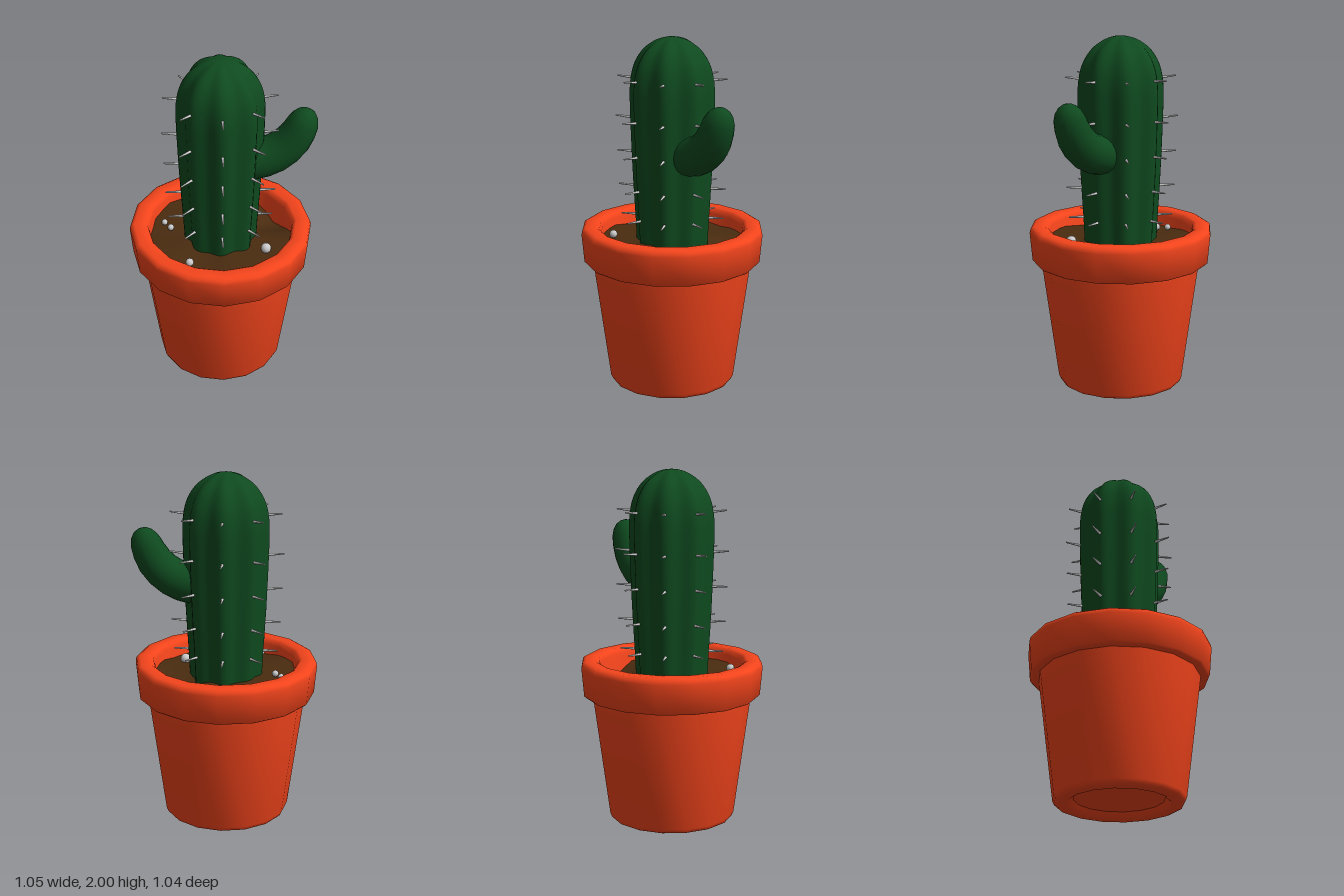
import * as THREE from 'three';
import { mergeVertices, toCreasedNormals } from 'three/addons/utils/BufferGeometryUtils.js';

const mat = (color) => new THREE.MeshStandardMaterial({ color });
const V2 = (pts) => pts.map(([r, y]) => new THREE.Vector2(r, y));

// Weld seams so that normals are smooth all the way round
function weld(geo) {
  geo.deleteAttribute('uv');
  geo.deleteAttribute('normal');
  const g = mergeVertices(geo, 1e-4);
  g.computeVertexNormals();
  return g;
}

// Move every vertex by a rule
function reshape(geo, rule) {
  const p = geo.attributes.position;
  const v = new THREE.Vector3();
  for (let i = 0; i < p.count; i++) {
    v.fromBufferAttribute(p, i);
    rule(v);
    p.setXYZ(i, v.x, v.y, v.z);
  }
  return weld(geo);
}

// Skin a tube over rings [x, y, radius] that lie along a bend in the xy plane
function bentLimb(rings, sides) {
  const path = new THREE.CatmullRomCurve3(rings.map(([x, y]) => new THREE.Vector3(x, y, 0)));
  const pos = [], index = [];
  rings.forEach(([x, y, r], i) => {
    const t = path.getTangent(i / (rings.length - 1));
    for (let s = 0; s < sides; s++) {
      const a = (s / sides) * Math.PI * 2;
      const side = Math.cos(a) * r;
      pos.push(x + t.y * side, y - t.x * side, -Math.sin(a) * r);
      if (i === 0) continue;
      const n = (s + 1) % sides;
      const a0 = (i - 1) * sides + s, b0 = (i - 1) * sides + n;
      const a1 = i * sides + s, b1 = i * sides + n;
      index.push(a0, b0, b1, a0, b1, a1);
    }
  });
  const geo = new THREE.BufferGeometry();
  geo.setAttribute('position', new THREE.Float32BufferAttribute(pos, 3));
  geo.setIndex(index);
  return weld(geo);
}

export function createModel() {
  const model = new THREE.Group();
  model.name = 'pottedCactus';
  const clay = mat(0xf5451c), green = mat(0x0f4a1f), earth = mat(0x4a2c10), grey = mat(0xcccccc);
  const add = (parent, name, geo, material) => {
    const mesh = new THREE.Mesh(geo, material);
    mesh.name = name;
    parent.add(mesh);
    return mesh;
  };

  // Everything but the arm is centred slightly off the middle
  const plant = new THREE.Group();
  plant.name = 'plant';
  plant.position.x = -0.015;
  model.add(plant);

  // Pot: recessed foot, tapered wall, overhanging rim and inner wall
  const potProfile = V2([
    [0, 0.035], [0.25, 0.035], [0.27, 0.01], [0.285, 0], [0.335, 0], [0.353, 0.008], [0.363, 0.03],
    [0.455, 0.725], [0.495, 0.725], [0.506, 0.735], [0.52, 0.895], [0.515, 0.918], [0.495, 0.93],
    [0.435, 0.93], [0.418, 0.92], [0.41, 0.895], [0.39, 0.7],
  ]);
  add(plant, 'pot', toCreasedNormals(new THREE.LatheGeometry(potProfile, 16), 0.9), clay);

  // Soil: uneven, sunken on one side
  const soil = new THREE.LatheGeometry(V2([[0.41, 0], [0.36, 0], [0.29, 0], [0.2, 0], [0, 0]]), 32);
  reshapeSoil: {
    const geo = reshape(soil, (v) => {
      const a = Math.atan2(v.z, v.x), r = Math.hypot(v.x, v.z);
      const dip = Math.exp(-((v.x - 0.32) ** 2 + (v.z + 0.2) ** 2) / 0.025);
      v.y = 0.845 - 0.09 * dip + 0.012 * (r / 0.41) * Math.sin(5 * a + 1);
    });
    add(plant, 'soil', geo, earth);
  }

  // Pebbles: x, y, z, radius
  [[-0.32, 0.86, -0.1, 0.018], [-0.285, 0.86, -0.05, 0.019],
    [0.25, 0.857, 0.16, 0.03], [-0.185, 0.87, 0.28, 0.023]].forEach(([x, y, z, r]) => {
    add(plant, 'pebble', new THREE.SphereGeometry(r, 12, 8), grey).position.set(x, y, z);
  });

  // Cactus body: domed column with eight ribs
  const bodyProfile = new THREE.SplineCurve(V2([
    [0.205, 0.78], [0.212, 0.95], [0.226, 1.2], [0.236, 1.45], [0.241, 1.65], [0.236, 1.76],
    [0.213, 1.85], [0.165, 1.926], [0.1, 1.975], [0.045, 1.995], [0, 2],
  ])).getPoints(40);
  bodyProfile[40].x = 0;
  const body = reshape(new THREE.LatheGeometry(bodyProfile, 64), (v) => {
    const k = 0.945 + 0.055 * Math.cos(8 * Math.atan2(v.z, v.x));
    v.x *= k;
    v.z *= k;
  });
  add(plant, 'cactusBody', body, green);

  // Arm: bends out of the left side and up
  add(model, 'cactusArm', bentLimb([
    [0.08, 1.355, 0.112], [0.16, 1.362, 0.113], [0.225, 1.377, 0.112], [0.285, 1.403, 0.109],
    [0.34, 1.443, 0.105], [0.383, 1.493, 0.101], [0.414, 1.55, 0.094], [0.433, 1.6, 0.086],
    [0.442, 1.635, 0.072], [0.447, 1.66, 0.053], [0.45, 1.676, 0.028], [0.451, 1.681, 0],
  ], 20), green);

  // Spines: five rings along the ribs, [height, tip radius, upward tilt]
  const spineGeo = new THREE.CylinderGeometry(0.004, 0.011, 0.15, 8);
  spineGeo.translate(0, -0.075, 0);
  spineGeo.rotateZ(-Math.PI / 2);
  const rings = [[0.98, 0.295, 0], [1.153, 0.308, 0.02], [1.35, 0.315, 0.02], [1.55, 0.323, 0.08], [1.776, 0.31, 0.1]];
  const spines = new THREE.Group();
  spines.name = 'spines';
  plant.add(spines);
  rings.forEach(([y, r, tilt], ring) => {
    for (let i = 0; i < 8; i++) {
      if (i === 0 && ring === 2) continue; // covered by the arm
      const a = (i / 8) * Math.PI * 2;
      const spine = add(spines, 'spine', spineGeo, grey);
      spine.position.set(Math.cos(a) * r, y, -Math.sin(a) * r);
      spine.rotation.set(0, a, tilt);
    }
  });

  return model;
}
